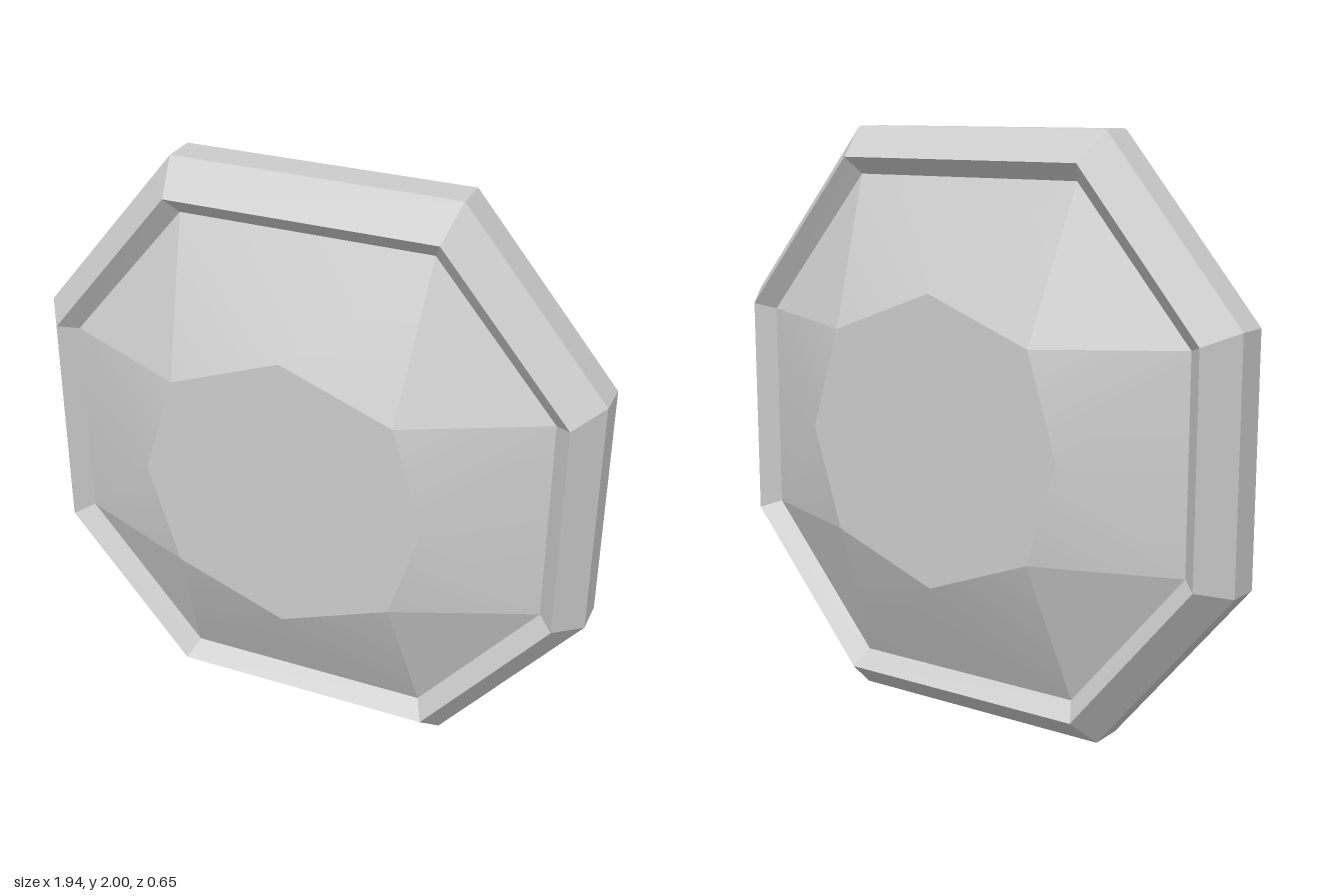
import * as THREE from 'three';
import { mergeGeometries } from 'three/addons/utils/BufferGeometryUtils.js';

// Eight corners, counter-clockwise seen from +z: (a, b) beside the sides, (c, d) beside top and bottom
const octagon = (a, b, c, d, z) => [
  [a, -b, z], [a, b, z], [c, d, z], [-c, d, z],
  [-a, b, z], [-a, -b, z], [-c, -d, z], [c, -d, z],
];

// One facet as a fan around its first corner; normals blend only inside the facet
function facet(corners) {
  const g = new THREE.BufferGeometry();
  g.setAttribute('position', new THREE.Float32BufferAttribute(corners.flat(), 3));
  const index = [];
  for (let i = 1; i < corners.length - 1; i++) index.push(0, i, i + 1);
  g.setIndex(index);
  g.computeVertexNormals();
  return g;
}

export function createModel() {
  const model = new THREE.Group();
  const material = new THREE.MeshStandardMaterial({ color: 0xcccccc });
  const addMesh = (name, facets) => {
    const mesh = new THREE.Mesh(mergeGeometries(facets), material);
    mesh.name = name;
    mesh.position.y = 1;
    model.add(mesh);
    return mesh;
  };

  // Bevelled octagonal frame: rings from the back inner lip round to the front inner lip
  const inner = (z) => octagon(0.835, 0.355, 0.427, 0.843, z);
  const bevel = (z) => octagon(0.89, 0.376, 0.457, 0.9, z);
  const outer = (z) => octagon(0.972, 0.413, 0.488, 1, z);
  const rings = [inner(-0.125), bevel(-0.18), outer(-0.06), outer(0.06), bevel(0.18), inner(0.125)];
  const frame = [];
  for (let r = 0; r < rings.length - 1; r++) {
    for (let i = 0; i < 8; i++) {
      const j = (i + 1) % 8;
      frame.push(facet([rings[r][i], rings[r][j], rings[r + 1][j], rings[r + 1][i]]));
    }
  }
  addMesh('frame', frame);

  // Faceted gem: flat table, four broad five-cornered facets and four corner triangles
  const girdle = inner(0.125);
  const z = 0.325;
  const table = [
    [0.487, 0, z], [0.38, 0.343, z], [0, 0.487, z], [-0.38, 0.343, z],
    [-0.487, 0, z], [-0.38, -0.343, z], [0, -0.487, z], [0.38, -0.343, z],
  ];
  const gem = [facet(table)];
  for (let i = 0; i < 8; i += 2) {
    const next = table[i + 1];
    const previous = table[(i + 7) % 8];
    gem.push(facet([table[i], previous, girdle[i], girdle[i + 1], next]));
    gem.push(facet([next, girdle[i + 1], girdle[(i + 2) % 8]]));
  }
  addMesh('gemFront', gem);
  addMesh('gemBack', gem).rotation.y = Math.PI;

  return model;
}
